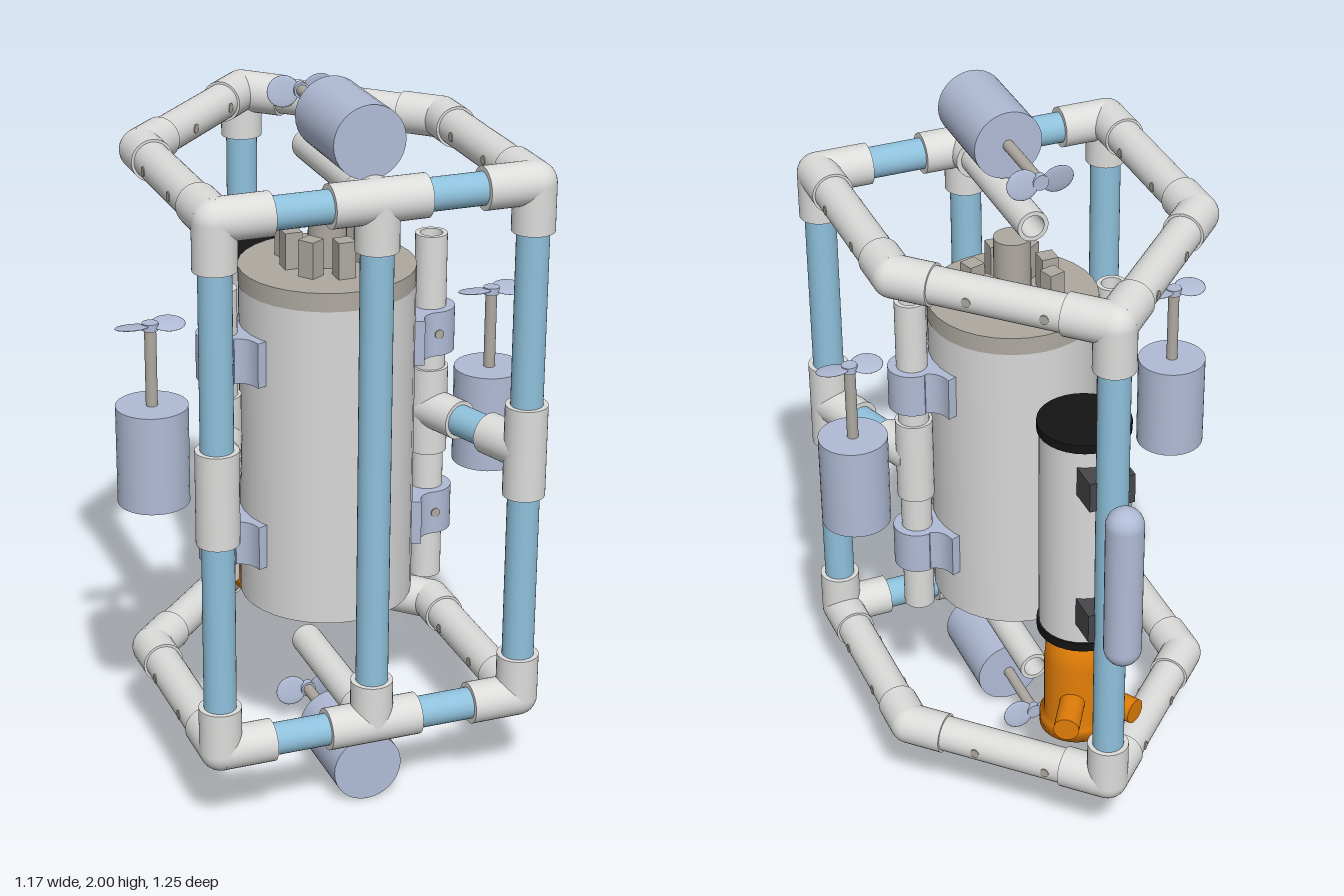
import * as THREE from 'three';

export function createModel() {
  const root = new THREE.Group();
  const mat = (name, color, side = THREE.FrontSide) => {
    const m = new THREE.MeshStandardMaterial({ color, side });
    m.name = name;
    return m;
  };
  const white = mat('white plastic', 0xdcdcdb, THREE.DoubleSide);
  const blue = mat('light blue pipe', 0x8fc1dc);
  const hull = mat('hull grey', 0xd8d8d8);
  const taupe = mat('taupe cap', 0xaea9a1);
  const steel = mat('grey blue', 0xb0bbd5);
  const orange = mat('orange', 0xe07d08);
  const black = mat('black', 0x141414);
  const dark = mat('dark grey', 0x46464b);

  const V = (x, y, z) => new THREE.Vector3(x, y, z);
  const UP = V(0, 1, 0);
  const add = (name, geo, m, pos, parent = root) => {
    const mesh = new THREE.Mesh(geo, m);
    mesh.name = name;
    if (pos) mesh.position.copy(pos);
    parent.add(mesh);
    return mesh;
  };
  // Solid round bar between two points
  const bar = (name, a, b, r, m, parent = root) => {
    const d = b.clone().sub(a);
    const mesh = add(name, new THREE.CylinderGeometry(r, r, d.length(), 32), m, a.clone().add(b).multiplyScalar(0.5), parent);
    mesh.quaternion.setFromUnitVectors(UP, d.normalize());
    return mesh;
  };
  // Hollow tube between two points
  const tube = (name, a, b, r, ri, m) => {
    const d = b.clone().sub(a), h = d.length() / 2;
    const wall = [[ri, -h], [r, -h], [r, h], [ri, h], [ri, -h]];
    const pos = [];
    const geo = new THREE.LatheGeometry(wall.map(p => new THREE.Vector2(...p)), 32).toNonIndexed();
    geo.computeVertexNormals();
    const mesh = add(name, geo, m, a.clone().add(b).multiplyScalar(0.5));
    mesh.quaternion.setFromUnitVectors(UP, d.normalize());
    return mesh;
  };
  // Fitting: sockets leaving a joint toward the given directions
  const fitting = (name, c, arms) => {
    const g = new THREE.Group();
    g.name = name;
    root.add(g);
    add('joint', new THREE.SphereGeometry(0.058, 32, 20), white, c, g);
    for (const [dir, len] of arms)
      bar('socket', c, c.clone().addScaledVector(dir.clone().normalize(), len), 0.058, white, g);
  };

  const CX = 0.01, HW = 0.433, ZF = 0.568, ZS = -0.045, ZB = -0.483;
  const LOW = 0.265, HIGH = 1.758, R = 0.044;

  // Top and bottom pentagon rings
  for (const [y, vy] of [[LOW, 1], [HIGH, -1]]) {
    const vert = V(0, vy, 0);
    const apex = V(CX, y, ZB), mid = V(CX, y, ZF);
    fitting('frontTee', mid, [[V(1, 0, 0), 0.131], [V(-1, 0, 0), 0.131], [vert, 0.13], [V(0, 0, -1), 0.09]]);
    tube('innerStub', V(CX, y, ZF - 0.05), V(CX, y, 0.06), R, 0.032, white);
    const backArms = [[vert, 0.13]];
    for (const s of [-1, 1]) {
      const front = V(CX + s * HW, y, ZF), side = V(CX + s * HW, y, ZS);
      const diag = apex.clone().sub(side).normalize();
      fitting('frontCorner', front, [[V(-s, 0, 0), 0.145], [vert, 0.13], [V(0, 0, -1), 0.13]]);
      fitting('sideElbow', side, [[V(0, 0, 1), 0.105], [diag, 0.115]]);
      bar('frontRail', front, mid, R, blue);
      bar('sideRail', front, side, 0.051, white);
      bar('backRail', side, apex, 0.051, white);
      backArms.push([diag.clone().negate(), 0.13]);
      // Drain holes through the rails
      for (const z of [0.355, 0.14])
        bar('drainHole', V(side.x - 0.0525, y, z), V(side.x + 0.0525, y, z), 0.013, taupe);
      const n = V(diag.z, 0, -diag.x).multiplyScalar(0.0525);
      for (const t of [0.27, 0.62]) {
        const p = side.clone().lerp(apex, t + 0.1);
        bar('drainHole', p.clone().sub(n), p.clone().add(n), 0.013, taupe);
      }
    }
    fitting('backCorner', apex, backArms);
  }

  // Upright pipes
  for (const [x, z] of [[CX - HW, ZF], [CX + HW, ZF], [CX, ZF], [CX, ZB]])
    bar('upright', V(x, LOW, z), V(x, HIGH, z), R, blue);

  // Main hull with cap and connector posts
  const HX = 0.012, HZ = 0.208;
  bar('hull', V(HX, 0.512, HZ), V(HX, 1.42, HZ), 0.239, hull);
  bar('hullCap', V(HX, 1.42, HZ), V(HX, 1.472, HZ), 0.24, taupe);
  bar('centrePost', V(HX, 1.46, HZ), V(HX, 1.652, HZ), 0.052, taupe);
  [[-0.07, 0.12, 0.3], [0.11, 0.145, 0.5], [-0.09, 0.205, 0], [0.115, 0.245, 0.3], [0.015, 0.325, 0], [-0.065, 0.29, 0.6]]
    .forEach(([x, z, turn]) => {
      const p = add('connectorPost', new THREE.BoxGeometry(0.048, 0.11, 0.048), taupe, V(x, 1.518, z));
      p.rotation.y = turn;
    });

  // Saddle clamp outline, pointing out from the hull axis
  const saddle = new THREE.Shape();
  saddle.absarc(0, 0, 0.237, -0.47, 0.47, false);
  saddle.lineTo(0.238, 0.118);
  saddle.quadraticCurveTo(0.245, 0.07, 0.285, 0.062);
  saddle.absarc(0.301, 0, 0.068, 1.75, -1.75, true);
  saddle.quadraticCurveTo(0.245, -0.07, 0.238, -0.118);
  saddle.closePath();
  const bore = new THREE.Path();
  bore.absarc(0.301, 0, 0.042, 0, Math.PI * 2, false);
  saddle.holes.push(bore);
  const clampGeo = new THREE.ExtrudeGeometry(saddle, { depth: 0.127, bevelEnabled: false, curveSegments: 20 });
  clampGeo.rotateX(-Math.PI / 2).translate(0, -0.0635, 0);

  // Side mounts: brace, sleeve, tube and clamps
  for (const [s, y0, y1] of [[-1, 0.585, 1.438], [1, 0.502, 1.52]]) {
    const corner = V(CX + s * HW, 1.01, ZF);
    const hub = V(HX + s * 0.301, 1.01, HZ);
    const d = hub.clone().sub(corner).normalize();
    fitting('uprightTee', corner, [[UP, 0.131], [V(0, -1, 0), 0.131], [d, 0.14]]);
    bar('brace', corner, hub, R, blue);
    bar('braceSocket', hub, hub.clone().addScaledVector(d, -0.13), 0.055, white);
    tube('mountSleeve', V(hub.x, 0.885, HZ), V(hub.x, 1.135, HZ), 0.053, 0.04, white);
    tube('mountTube', V(hub.x, y0, HZ), V(hub.x, y1, HZ), R, 0.031, white);
    for (const y of [0.714, 1.249]) {
      const c = add('saddleClamp', clampGeo, steel, V(HX, y, HZ));
      if (s < 0) c.rotation.y = Math.PI;
      bar('clampScrew', V(hub.x, y, HZ + 0.05), V(hub.x, y, HZ + 0.071), 0.013, taupe);
    }
  }

  // Thruster: motor, shaft and two-bladed propeller along +y
  const thruster = (name, pos, flat, reach) => {
    const g = new THREE.Group();
    g.name = name;
    bar('motor', V(0, -0.139, 0), V(0, 0.139, 0), 0.098, steel, g);
    bar('shaft', V(0, 0.139, 0), V(0, reach, 0), 0.016, taupe, g);
    bar('propellerHub', V(0, reach - 0.012, 0), V(0, reach + 0.008, 0), 0.022, steel, g);
    for (const s of [-1, 1]) {
      const blade = add('propellerBlade', new THREE.SphereGeometry(1, 20, 10), steel, V(s * 0.05, reach, 0), g);
      blade.scale.set(0.046, 0.005, 0.043);
      blade.rotation.x = s * 0.17;
    }
    g.position.copy(pos);
    if (flat) g.rotation.x = -Math.PI / 2;
    root.add(g);
  };
  thruster('topThruster', V(0, 1.902, 0.398), true, 0.363);
  thruster('bottomThruster', V(0.014, 0.1, 0.398), true, 0.34);
  thruster('rightThruster', V(-0.489, 0.998, 0.222), false, 0.365);
  thruster('leftThruster', V(0.489, 0.973, 0.222), false, 0.365);

  // Rear canister with black ends and pipe clips
  const BX = 0.008, BZ = -0.29;
  bar('canister', V(BX, 0.7, BZ), V(BX, 1.335, BZ), 0.122, hull);
  for (const y of [0.69, 1.344])
    bar('canisterEnd', V(BX, y - 0.013, BZ), V(BX, y + 0.013, BZ), 0.128, black);
  for (const y of [0.81, 1.24])
    add('canisterClip', new THREE.BoxGeometry(0.13, 0.088, 0.11), dark, V(BX, y, -0.425));

  // Rear float
  add('float', new THREE.CapsuleGeometry(0.052, 0.4, 12, 32), steel, V(0.015, 1.003, -0.577));

  // Orange pump: flanged bullet body, front fin and two outlets
  const PZ = -0.255;
  const bullet = [[0, 0.305], [0.105, 0.305], [0.105, 0.345], [0.092, 0.35], [0.092, 0.54],
    [0.087, 0.58], [0.073, 0.622], [0.05, 0.652], [0.025, 0.667], [0, 0.671]];
  add('pumpBody', new THREE.LatheGeometry(bullet.map(p => new THREE.Vector2(...p)), 32), orange, V(CX, 0, PZ));
  add('pumpFin', new THREE.BoxGeometry(0.027, 0.14, 0.13), orange, V(CX, 0.468, -0.125));
  for (const s of [-1, 1])
    bar('pumpOutlet', V(CX, 0.433, PZ), V(CX + s * 0.105, 0.433, PZ - 0.175), 0.036, orange);

  return root;
}
